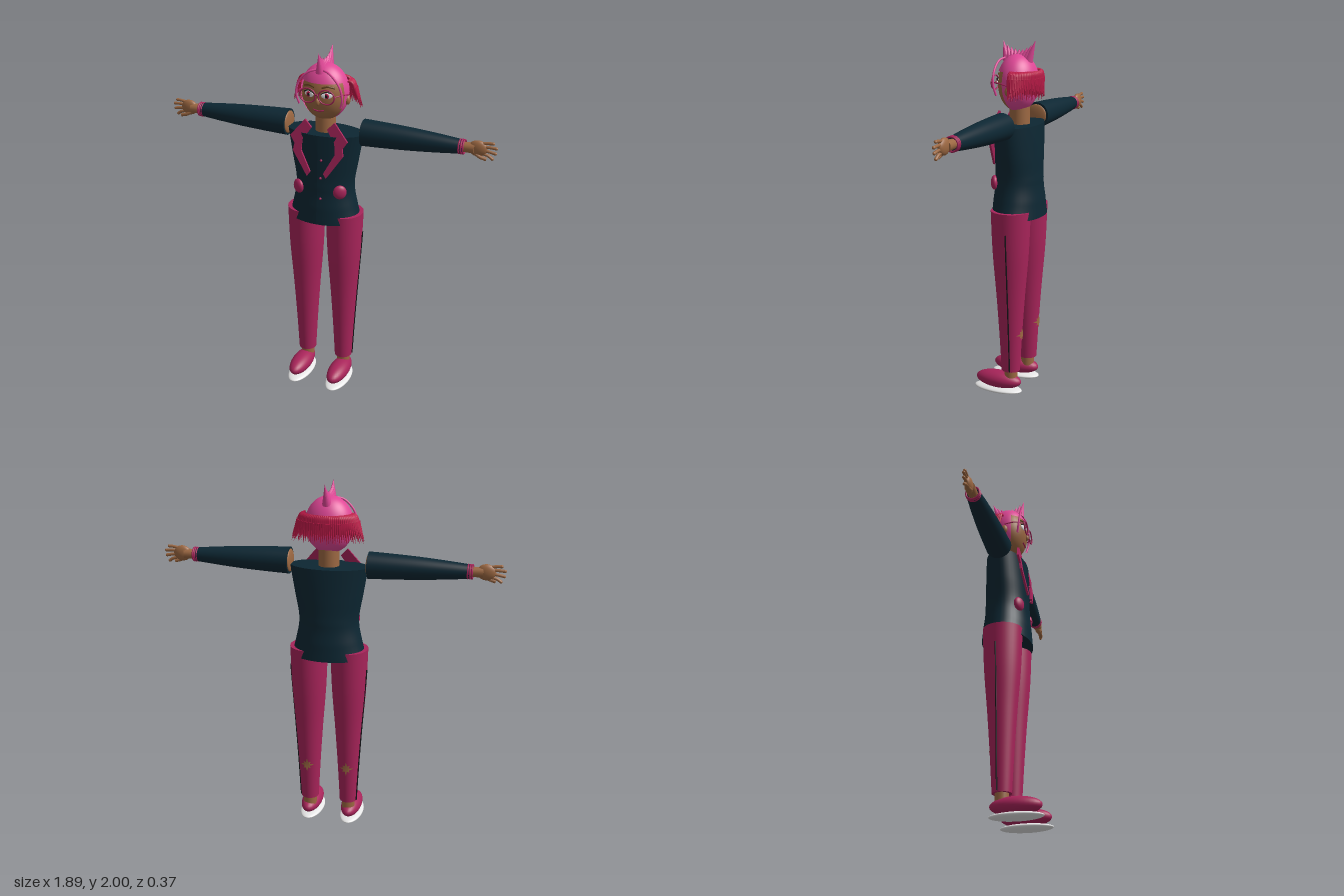
import * as THREE from 'three';

const mat = (name, color, side = THREE.FrontSide) => {
  const m = new THREE.MeshStandardMaterial({ color, side });
  m.name = name;
  return m;
};

export function createModel() {
  const model = new THREE.Group();
  model.name = 'figure';
  const navy = mat('navy cloth', 0x0d2733, THREE.DoubleSide);
  const magenta = mat('magenta cloth', 0xa8245a, THREE.DoubleSide);
  const pink = mat('pink hair', 0xdf4796, THREE.DoubleSide);
  const red = mat('red hair', 0xbd1a48);
  const skin = mat('skin', 0x9c6842);
  const white = mat('white', 0xe6e6e6);
  const black = mat('black', 0x17161a);
  const brown = mat('brow brown', 0x654420);
  const Z = -0.04; // depth of the body axis

  const add = (name, geo, material, pos = [0, 0, 0], parent = model) => {
    const mesh = new THREE.Mesh(geo, material);
    mesh.name = name;
    mesh.position.set(...pos);
    parent.add(mesh);
    return mesh;
  };
  const ball = (name, r, material, pos, parent = model) => {
    const mesh = add(name, new THREE.SphereGeometry(1, 32, 20), material, pos, parent);
    mesh.scale.set(...r);
    return mesh;
  };
  const vec = (p) => new THREE.Vector3(...p);
  const tube = (name, pts, r, material, parent = model) =>
    add(name, new THREE.TubeGeometry(new THREE.CatmullRomCurve3(pts.map(vec)), 20, r, 8), material, [0, 0, 0], parent);
  // Lathe whose radius follows a smooth curve through [radius, height] points, ends closed
  const lathe = (profile) => {
    const pts = new THREE.SplineCurve(profile.map((p) => new THREE.Vector2(...p))).getPoints(30);
    const closed = [new THREE.Vector2(0.0001, pts[0].y), pts[0].clone(), ...pts, pts[30].clone(), new THREE.Vector2(0.0001, pts[30].y)];
    return new THREE.LatheGeometry(closed, 40);
  };
  // Cone from one point to another
  const spike = (name, from, to, r, material, parent = model) => {
    const a = vec(from), b = vec(to), d = b.clone().sub(a);
    const cone = add(name, new THREE.ConeGeometry(r, d.length(), 10), material, a.clone().add(b).multiplyScalar(0.5).toArray(), parent);
    cone.quaternion.setFromUnitVectors(new THREE.Vector3(0, 1, 0), d.normalize());
    return cone;
  };

  // Jacket body: oval sections through [y, half width, half depth]
  const sections = [[1.04, 0.21, 0.14], [1.13, 0.185, 0.135], [1.25, 0.166, 0.126], [1.4, 0.19, 0.12], [1.55, 0.216, 0.114]];
  const width = lathe(sections.map(([y, w]) => [w, y]));
  const depthAt = (y) => {
    const i = Math.min(3, Math.max(0, sections.findIndex((s, k) => k < 4 && y <= sections[k + 1][0] + 1e-6)));
    const [a, b] = [sections[i], sections[i + 1]];
    const t = (y - a[0]) / (b[0] - a[0]);
    return THREE.MathUtils.lerp(a[2] / a[1], b[2] / b[1], t);
  };
  const wp = width.attributes.position;
  for (let i = 0; i < wp.count; i++) wp.setZ(i, wp.getZ(i) * depthAt(wp.getY(i)));
  width.computeVertexNormals();
  add('jacket body', width, navy, [0, 0, Z]);
  [1.415, 1.315, 1.195].forEach((y) => ball('button', [0.007, 0.007, 0.006], magenta, [0.022, y, y > 1.35 ? 0.08 : 0.09]));

  // Neck
  add('neck', new THREE.CylinderGeometry(0.055, 0.058, 0.16, 24), skin, [0, 1.58, Z]);

  // Chevron lapel outline
  const lapel = new THREE.Shape([[0.045, 1.585], [0.085, 1.625], [0.165, 1.53], [0.138, 1.49], [0.145, 1.45], [0.055, 1.32],
    [0.038, 1.345], [0.098, 1.455], [0.092, 1.515]].map((p) => new THREE.Vector2(...p)));
  const lapelGeo = new THREE.ExtrudeGeometry(lapel, { depth: 0.012, bevelEnabled: false });
  const lp = lapelGeo.attributes.position;
  for (let i = 0; i < lp.count; i++) lp.setZ(i, lp.getZ(i) + 0.085 - 0.16 * (lp.getY(i) - 1.32));
  lapelGeo.computeVertexNormals();

  // Torn patch outline for the back of the trousers
  const star = new THREE.Shape();
  for (let i = 0; i < 16; i++) {
    const a = (i / 16) * Math.PI * 2, r = i % 2 ? 0.018 : i % 4 ? 0.03 : 0.042;
    star[i ? 'lineTo' : 'moveTo'](Math.cos(a) * r, Math.sin(a) * r);
  }
  const legProfile = [[0.05, 0.145], [0.062, 0.37], [0.077, 0.6], [0.096, 0.85], [0.105, 1.085]];
  const legX = (y) => 0.12 - 0.011 * (y - 0.145);

  // Both sides, built as the left and mirrored
  for (const s of [1, -1]) {
    const side = new THREE.Group();
    side.name = s > 0 ? 'left side' : 'right side';
    side.scale.x = s;
    model.add(side);

    // Trouser leg, seam and patch
    const leg = add('trouser leg', lathe(legProfile), magenta, [0.115, 0, Z], side);
    leg.scale.z = 1.06;
    tube('trouser seam', [[0.165, 0.15, -0.055], [0.177, 0.37, -0.055], [0.192, 0.6, -0.055], [0.21, 0.85, -0.055], [0.218, 0.97, -0.055]], 0.004, black, side);
    const patchGeo = new THREE.ShapeGeometry(star);
    const pp = patchGeo.attributes.position;
    for (let i = 0; i < pp.count; i++) pp.setZ(i, 0.07 - pp.getX(i) ** 2 * 9);
    patchGeo.computeVertexNormals();
    add('torn patch', patchGeo, skin, [0.115, 0.37, Z], side).rotation.y = Math.PI;

    // Foot
    add('ankle', new THREE.CylinderGeometry(0.038, 0.038, 0.09, 20), skin, [0.115, 0.125, Z], side);
    ball('shoe', [0.058, 0.05, 0.14], magenta, [0.12, 0.075, 0.035], side);
    ball('shoe sole', [0.066, 0.02, 0.147], white, [0.12, 0.02, 0.038], side);

    // Sleeve and arm
    const sleeve = add('sleeve', lathe([[0.073, 0.218], [0.068, 0.35], [0.06, 0.5], [0.048, 0.65], [0.037, 0.76]]), navy, [0, 1.563, Z], side);
    sleeve.rotation.z = -Math.PI / 2;
    ball('shoulder', [0.012, 0.062, 0.062], skin, [0.217, 1.563, Z], side);
    for (const x of [0.746, 0.757, 0.768])
      add('cuff ring', new THREE.TorusGeometry(0.036, 0.005, 8, 28), magenta, [x, 1.563, Z], side).rotation.y = Math.PI / 2;

    // Hand
    add('wrist', new THREE.CylinderGeometry(0.026, 0.028, 0.08, 16), skin, [0.785, 1.563, Z], side).rotation.z = Math.PI / 2;
    ball('palm', [0.05, 0.043, 0.021], skin, [0.84, 1.565, Z], side);
    [[1.592, 1.6, 0.925], [1.574, 1.576, 0.943], [1.556, 1.548, 0.94], [1.541, 1.518, 0.925]].forEach(([y0, y1, x]) => {
      tube('finger', [[0.855, y0, Z], [0.895, (y0 + y1) / 2 + 0.003, Z], [x - 0.007, y1, Z]], 0.0085, skin, side);
      ball('fingertip', [0.009, 0.0085, 0.0085], skin, [x - 0.008, y1, Z], side);
    });
    tube('thumb', [[0.82, 1.545, Z + 0.005], [0.855, 1.525, Z + 0.012], [0.89, 1.515, Z + 0.01]], 0.01, skin, side);

    // Lapel and pocket
    add('lapel', lapelGeo, magenta, [0, 0, 0], side);
    ball('pocket', [0.037, 0.04, 0.02], magenta, [0.122, 1.235, 0.055], side).rotation.y = 0.5;

    // Eye, brow and ear
    ball('eye white', [0.03, 0.017, 0.006], white, [0.05, 1.776, 0.068], side).rotation.y = 0.35;
    ball('iris', [0.014, 0.015, 0.004], red, [0.05, 1.776, 0.073], side);
    ball('pupil', [0.007, 0.008, 0.003], black, [0.05, 1.776, 0.0765], side);
    tube('upper lash', [[0.02, 1.782, 0.075], [0.05, 1.796, 0.07], [0.082, 1.784, 0.056]], 0.003, black, side);
    tube('eyebrow', [[0.02, 1.814, 0.068], [0.05, 1.822, 0.06], [0.086, 1.813, 0.044]], 0.005, brown, side);
    ball('ear', [0.016, 0.026, 0.018], skin, [0.128, 1.735, -0.03], side);

    // Glasses
    const rim = add('glasses rim', new THREE.TorusGeometry(0.045, 0.004, 8, 36), magenta, [0.053, 1.772, 0.083], side);
    rim.scale.y = 0.85;
    tube('glasses temple', [[0.097, 1.777, 0.083], [0.125, 1.777, 0.03], [0.135, 1.765, -0.03]], 0.0035, magenta, side);

    // Loose front lock
    tube('front lock', [[0.005, 1.905, 0.035], [0.06, 1.89, 0.055], [0.115, 1.83, 0.06], [0.13, 1.76, 0.055], [0.118, 1.71, 0.045]], 0.006, pink, side);
  }

  // Head, nose, mouth and glasses bridge
  ball('head', [0.125, 0.15, 0.105], skin, [0, 1.765, -0.03]);
  ball('nose', [0.012, 0.02, 0.014], skin, [0, 1.738, 0.073]);
  tube('mouth', [[-0.03, 1.69, 0.058], [0, 1.685, 0.061], [0.03, 1.69, 0.058]], 0.004, magenta);
  tube('glasses bridge', [[-0.01, 1.775, 0.083], [0, 1.78, 0.085], [0.01, 1.775, 0.083]], 0.004, magenta);

  // Hair shell: back of the head plus crown
  const shells = [[Math.PI - 0.35, Math.PI + 0.7, Math.PI], [0, Math.PI * 2, 1.13]];
  shells.forEach(([start, length, theta], i) => {
    const shell = add(i ? 'hair crown' : 'hair back', new THREE.SphereGeometry(1, 48, 24, start, length, 0, theta), pink, [0, 1.77, -0.03]);
    shell.scale.set(0.133, 0.155, 0.112);
  });

  // Crest of spikes fanning along the crown
  for (let i = 0; i < 9; i++) {
    const t = i / 8, u = t * 2 - 1;
    const z0 = 0.035 - 0.125 * t, z1 = 0.058 - 0.19 * t;
    const tip = 1.95 + 0.045 * u * u + (i === 8 ? 0.005 : 0);
    spike('crest spike', [0, 1.9 - 0.012 * u * u, z0], [0, tip, z1], 0.025, pink);
  }

  // Fringe of red strands around the sides and back
  const strands = 46;
  for (let i = 0; i < strands; i++) {
    const a = -0.12 + (i / (strands - 1)) * (Math.PI + 0.24);
    const c = Math.cos(a), sn = Math.sin(a), flare = Math.abs(c) ** 3;
    const jitter = (i % 3) * 0.008;
    const root = [c * 0.125, 1.835, -0.055 - sn * 0.088];
    const mid = [c * (0.142 + 0.018 * flare), 1.8, -0.06 - sn * 0.095];
    const end = [c * (0.148 + 0.05 * flare), 1.685 + jitter, -0.07 - sn * 0.09];
    tube('red strand root', [root, [(root[0] + mid[0]) / 2 + c * 0.006, 1.825, (root[2] + mid[2]) / 2 - sn * 0.004], mid], 0.009, red);
    spike('red strand', mid, end, 0.012, red);
  }
  return model;
}
